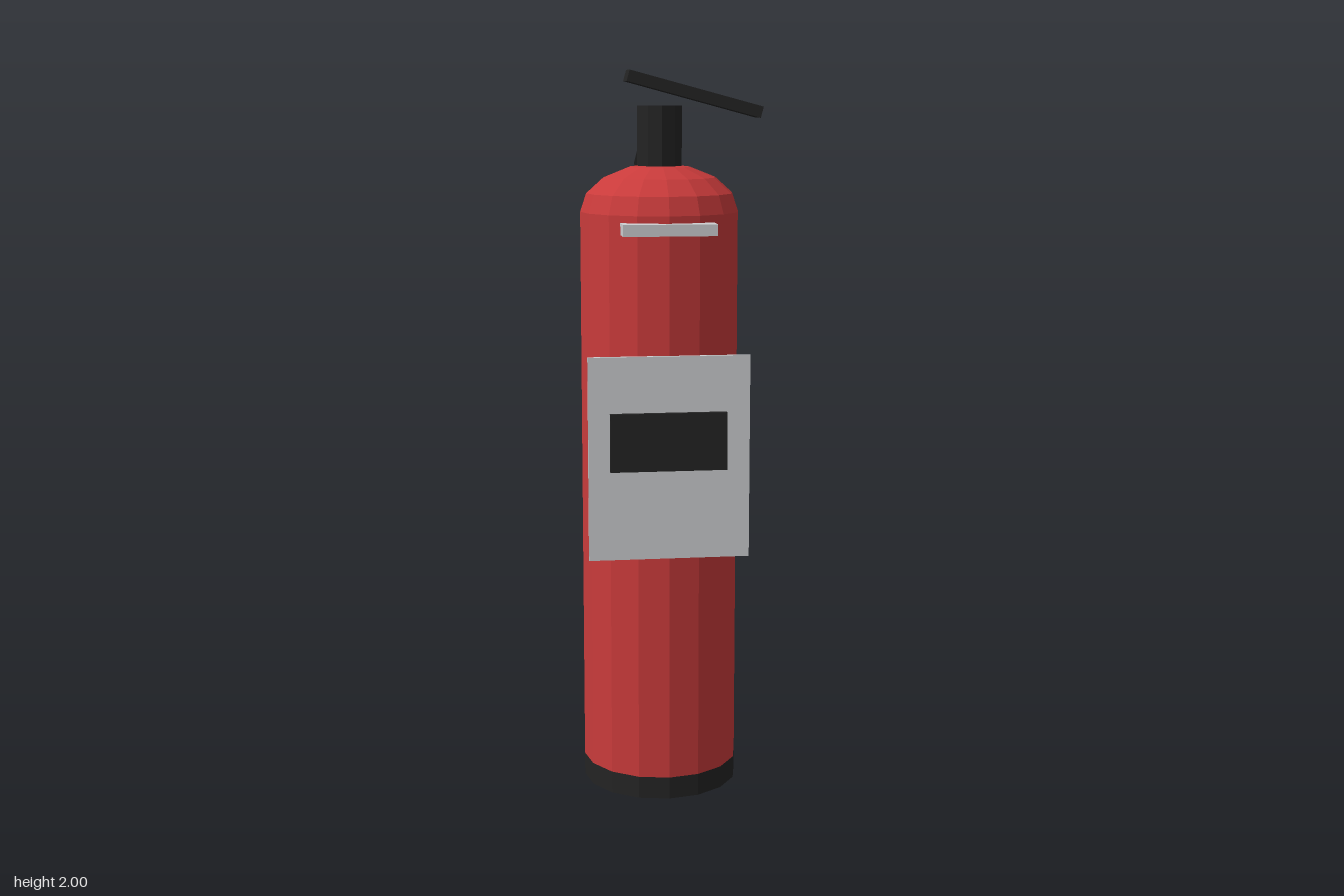
import * as THREE from 'three';

const material = (name, color) => {
  const m = new THREE.MeshStandardMaterial({ color, flatShading: true });
  m.name = name;
  return m;
};

export function createModel() {
  const red = material('red paint', 0xc93b3b);
  const black = material('black rubber', 0x242424);
  const silver = material('silver', 0xcdcfd1);

  const group = new THREE.Group();
  group.name = 'fireExtinguisher';
  const CX = -0.031, CZ = 0.093, R = 0.218;

  const add = (name, geometry, mat, x, y, z) => {
    const mesh = new THREE.Mesh(geometry, mat);
    mesh.name = name;
    mesh.position.set(x, y, z);
    group.add(mesh);
    return mesh;
  };
  // upright cylinder between two heights
  const upright = (name, rTop, rBottom, y0, y1, sides, mat, z = CZ) =>
    add(name, new THREE.CylinderGeometry(rTop, rBottom, y1 - y0, sides), mat, CX, (y0 + y1) / 2, z);
  // box from minimum and maximum corners
  const box = (name, a, b, mat) =>
    add(name, new THREE.BoxGeometry(b[0] - a[0], b[1] - a[1], b[2] - a[2]), mat,
      (a[0] + b[0]) / 2, (a[1] + b[1]) / 2, (a[2] + b[2]) / 2);
  // straight hose section in the plane x = CX
  const hose = (name, y0, z0, y1, z1, r) => {
    const from = new THREE.Vector3(CX, y0, z0), to = new THREE.Vector3(CX, y1, z1);
    const dir = to.clone().sub(from);
    const mid = from.clone().add(to).multiplyScalar(0.5);
    const mesh = add(name, new THREE.CylinderGeometry(r, r, dir.length(), 8), black, mid.x, mid.y, mid.z);
    mesh.quaternion.setFromUnitVectors(new THREE.Vector3(0, 1, 0), dir.normalize());
  };

  // tank
  upright('baseRing', R, R, 0, 0.062, 16, black);
  upright('tank', R, R, 0.062, 1.62, 16, red);
  const dome = new THREE.SphereGeometry(R, 16, 4, 0, Math.PI * 2, 0, Math.PI / 2);
  dome.scale(1, 0.6, 1);
  add('dome', dome, red, CX, 1.62, CZ);

  // valve and tilted lever
  upright('valve', 0.062, 0.062, 1.72, 1.905, 10, black);
  add('lever', new THREE.BoxGeometry(0.378, 0.031, 0.094), black, 0.062, 1.936, 0.092).rotation.z = -0.262;

  // hose and discharge horn behind the tank
  hose('upperHose', 1.865, 0.06, 1.737, -0.217, 0.037);
  hose('lowerHose', 1.722, -0.217, 0.49, -0.248, 0.036);
  upright('horn', 0.042, 0.093, 0.13, 0.5, 10, black, -0.249);

  // hanger, label plate and its dark panel
  box('hanger', [-0.157, 1.57, 0.271], [0.093, 1.601, 0.343], silver);
  box('labelPlate', [-0.25, 0.695, 0.304], [0.187, 1.25, 0.315], silver);
  box('labelPanel', [-0.192, 0.94, 0.315], [0.124, 1.098, 0.328], black);

  return group;
}
